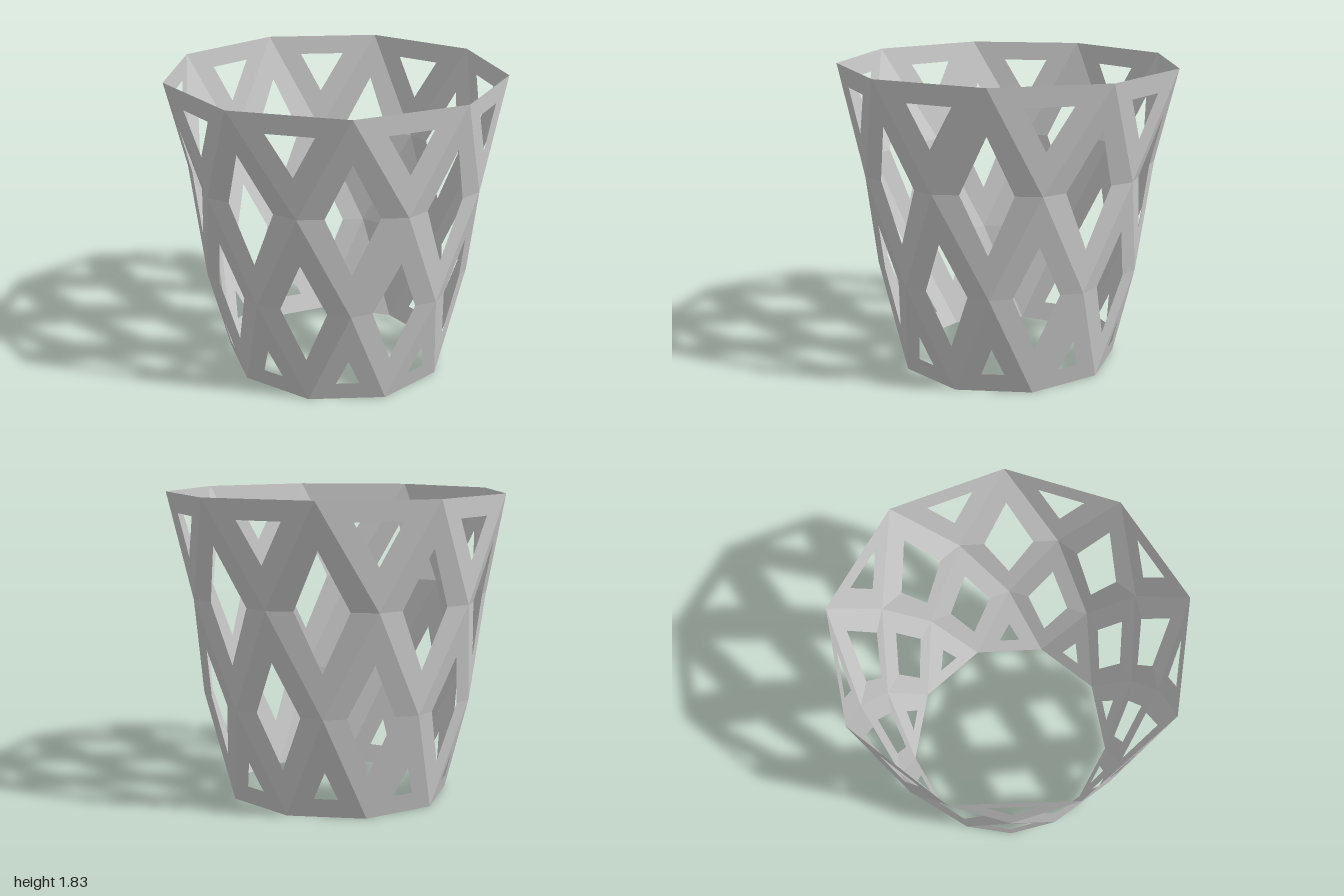
import * as THREE from 'three';

const SIDES = 9;
// Node rings from the foot to the rim; every second ring is turned by half a step
const RINGS = [
  { y: 0, rx: 0.645, rz: 0.68, turn: 0 },
  { y: 0.61, rx: 0.78, rz: 0.82, turn: 0.5 },
  { y: 1.22, rx: 0.87, rz: 0.92, turn: 0 },
  { y: 1.83, rx: 1.013, rz: 1.015, turn: 0.5 },
];
// Hole in each triangle: base height, base width and tip height as fractions
const ROWS = [
  { up: [0.19, 0.3, 0.467], down: [0, 0.5, 0.54] },
  { up: [0, 0.5, 0.51], down: [0, 0.5, 0.57] },
  { up: [0, 0.5, 0.56], down: [0.19, 0.4, 0.59] },
];

function node(ring, i) {
  const { y, rx, rz, turn } = RINGS[ring];
  const a = ((i + turn) * 2 * Math.PI) / SIDES;
  return new THREE.Vector3(0.03 + rx * Math.cos(a), y, rz * Math.sin(a));
}

// Triangle a-b-c with a triangular hole, as a frame of three quads
function addFrame(out, a, b, c, [base, width, tip]) {
  const mid = a.clone().lerp(b, 0.5);
  const rise = c.clone().sub(mid);
  const half = b.clone().sub(a).multiplyScalar(width / 2);
  const low = mid.clone().addScaledVector(rise, base);
  const outer = [a, b, c];
  const inner = [low.clone().sub(half), low.clone().add(half), mid.clone().addScaledVector(rise, tip)];
  for (let i = 0; i < 3; i++) {
    if (i === 0 && base === 0) continue; // hole runs on into the next row
    const j = (i + 1) % 3;
    for (const p of [outer[i], outer[j], inner[j], outer[i], inner[j], inner[i]]) out.push(p.x, p.y, p.z);
  }
}

export function createModel() {
  const group = new THREE.Group();
  group.name = 'latticeBasket';
  const material = new THREE.MeshStandardMaterial({ color: 0xcccccc, flatShading: true, side: THREE.DoubleSide });
  const names = ['lowerLattice', 'middleLattice', 'upperLattice'];

  ROWS.forEach((row, r) => {
    const points = [];
    const k = RINGS[r].turn ? 1 : 0; // which neighbour sits between two nodes
    for (let i = 0; i < SIDES; i++) {
      addFrame(points, node(r, i + 1), node(r, i), node(r + 1, i + k), row.up);
      addFrame(points, node(r + 1, i), node(r + 1, i + 1), node(r, i + 1 - k), row.down);
    }
    const geometry = new THREE.BufferGeometry();
    geometry.setAttribute('position', new THREE.Float32BufferAttribute(points, 3));
    geometry.computeVertexNormals();
    const mesh = new THREE.Mesh(geometry, material);
    mesh.name = names[r];
    group.add(mesh);
  });
  return group;
}
